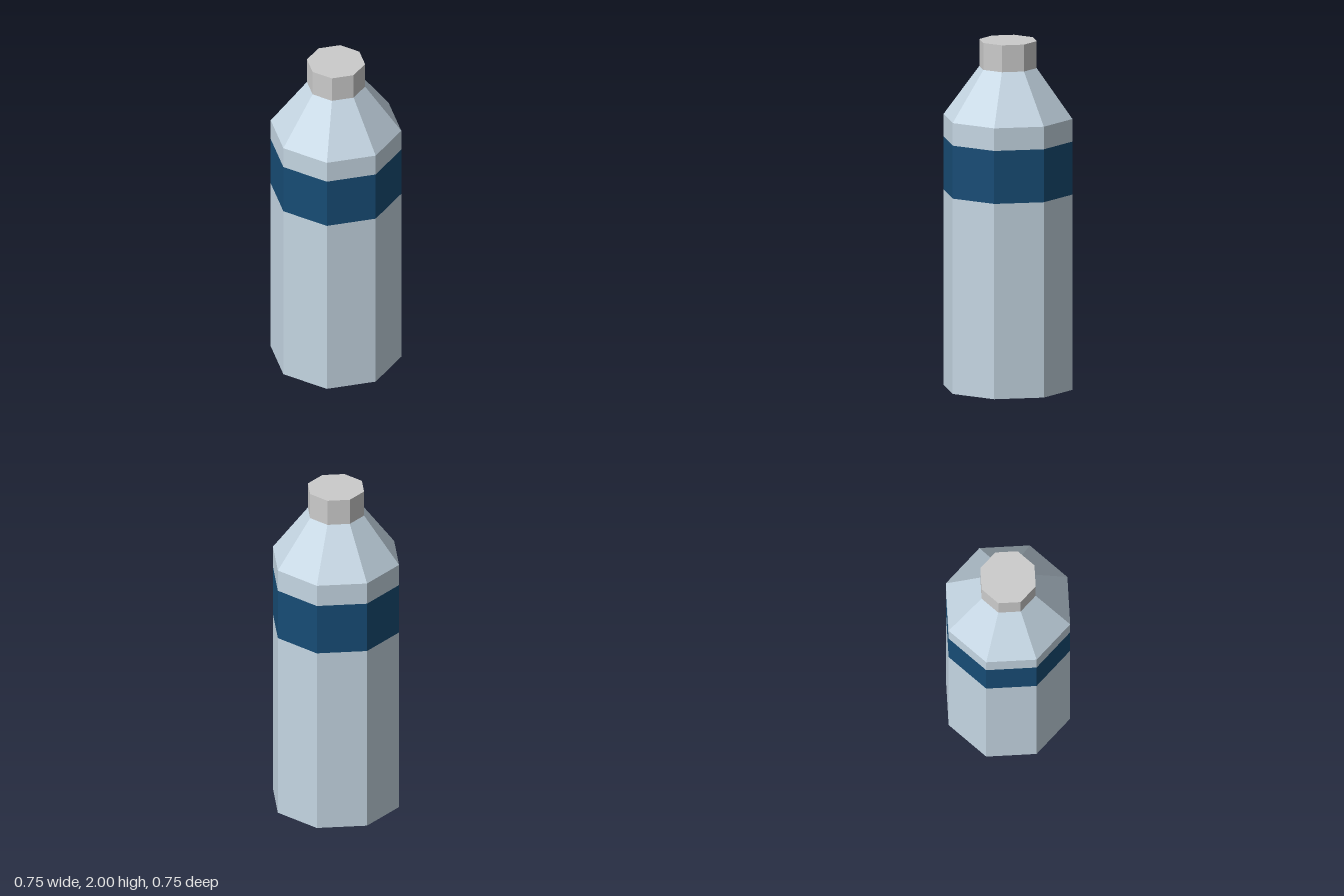
import * as THREE from 'three';

const SIDES = 8;
const BODY_R = 0.373;
const NECK_R = 0.166;

const material = (color) => new THREE.MeshStandardMaterial({ color, flatShading: true });

// Open eight-sided band between two heights
function band(name, y0, y1, r0, r1, mat) {
  const geometry = new THREE.CylinderGeometry(r1, r0, y1 - y0, SIDES, 1, true);
  const mesh = new THREE.Mesh(geometry, mat);
  mesh.name = name;
  mesh.position.y = (y0 + y1) / 2;
  return mesh;
}

// Flat eight-sided disc closing an end, facing up or down
function disc(name, y, r, up, mat) {
  const geometry = new THREE.CircleGeometry(r, SIDES);
  geometry.rotateX(up ? -Math.PI / 2 : Math.PI / 2);
  const mesh = new THREE.Mesh(geometry, mat);
  mesh.name = name;
  mesh.position.y = y;
  return mesh;
}

export function createModel() {
  const shell = material(0xc5d6e3);
  const blue = material(0x174c75);
  const grey = material(0xcccccc);

  const bottle = new THREE.Group();
  bottle.name = 'bottle';
  bottle.add(
    // Body with its base, label stripe and upper rim
    disc('base', 0, BODY_R, false, shell),
    band('lowerBody', 0, 1.125, BODY_R, BODY_R, shell),
    band('labelStripe', 1.125, 1.43, BODY_R, BODY_R, blue),
    band('upperBody', 1.43, 1.56, BODY_R, BODY_R, shell),
    // Tapered shoulder
    band('shoulder', 1.56, 1.845, BODY_R, NECK_R, shell),
    // Cap
    band('capSide', 1.845, 2, NECK_R, NECK_R, grey),
    disc('capTop', 2, NECK_R, true, grey),
  );
  return bottle;
}
